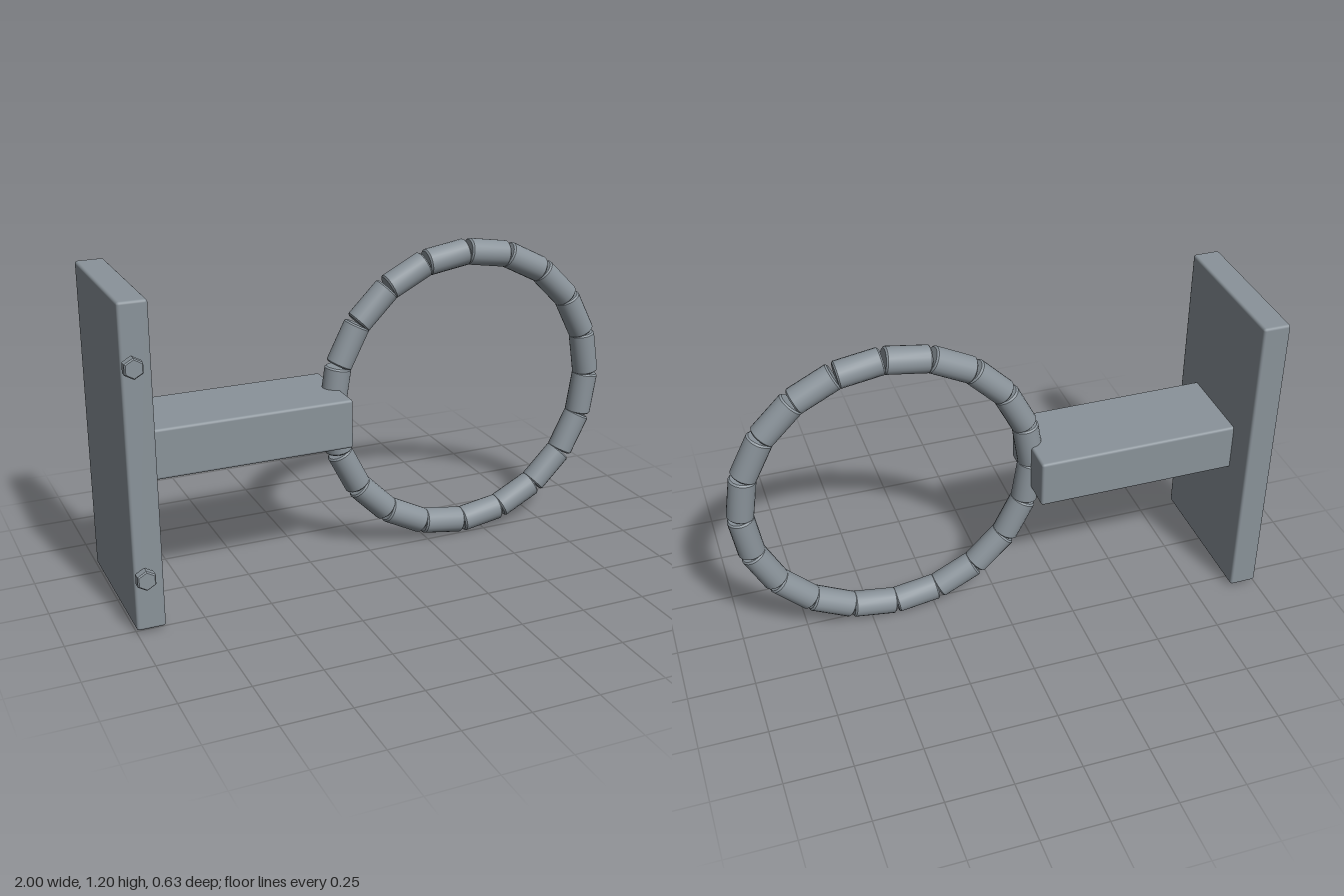
import * as THREE from 'three';
import { toCreasedNormals } from 'three/addons/utils/BufferGeometryUtils.js';
import { RoundedBoxGeometry } from 'three/addons/geometries/RoundedBoxGeometry.js';

const steel = new THREE.MeshStandardMaterial({ color: 0x8a939a });
steel.name = 'steel grey';

// Solid of revolution with small chamfers on both rims
function chamferedRod(radius, length, bevel, sides) {
  const h = length / 2;
  const profile = [
    [0, -h], [radius - bevel, -h], [radius, -h + bevel],
    [radius, h - bevel], [radius - bevel, h], [0, h],
  ].map(([x, y]) => new THREE.Vector2(x, y));
  return toCreasedNormals(new THREE.LatheGeometry(profile, sides), 0.5);
}

function addPart(parent, name, geometry, x, y, z) {
  const mesh = new THREE.Mesh(geometry, steel);
  mesh.name = name;
  mesh.position.set(x, y, z);
  parent.add(mesh);
  return mesh;
}

export function createModel() {
  const model = new THREE.Group();
  model.name = 'wallMountedRing';
  const midZ = -0.022;

  // Wall plate and the arm standing out from it
  addPart(model, 'wallPlate', new RoundedBoxGeometry(0.104, 1.18, 0.586, 2, 0.01), -0.948, 0.6, midZ);
  addPart(model, 'arm', new RoundedBoxGeometry(0.79, 0.186, 0.334, 2, 0.01), -0.525, 0.598, midZ);

  // Hexagonal bolts beside the front edge of the plate
  const boltGeometry = chamferedRod(0.037, 0.038, 0.005, 6);
  for (const y of [0.22, 0.978]) {
    addPart(model, 'bolt', boltGeometry, -0.967, y, 0.301).rotation.x = Math.PI / 2;
  }

  // Ring of straight rod segments
  const ring = new THREE.Group();
  ring.name = 'ring';
  ring.position.set(0.404, 0.598, midZ);
  model.add(ring);
  const count = 20;
  const radius = 0.543;
  const segmentGeometry = chamferedRod(0.05, 0.167, 0.006, 20);
  for (let i = 0; i < count; i++) {
    const a = ((i + 0.5) / count) * Math.PI * 2;
    addPart(ring, 'ringSegment', segmentGeometry, radius * Math.cos(a), radius * Math.sin(a), 0).rotation.z = a;
  }
  return model;
}
